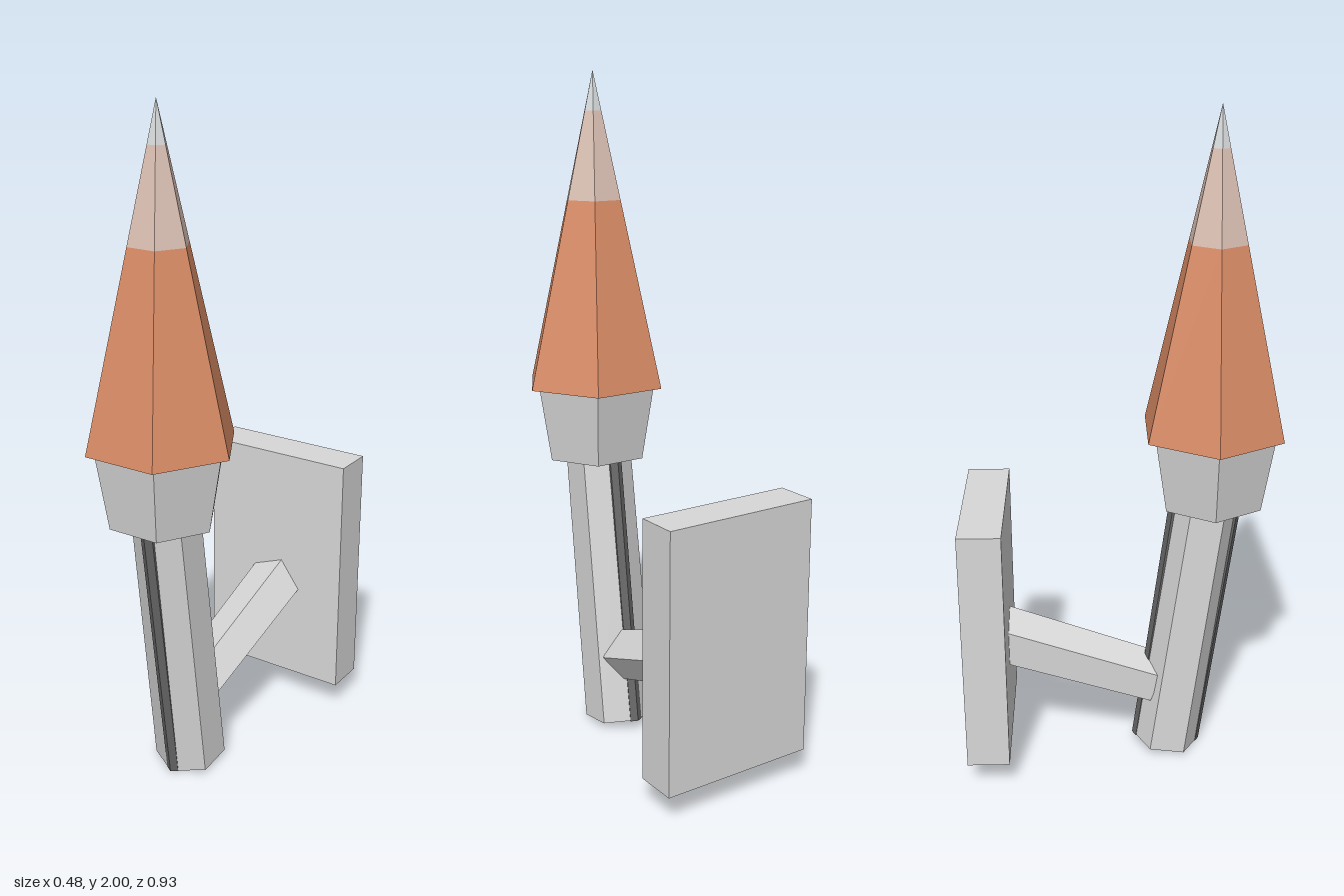
import * as THREE from 'three';

const paint = (name, color) => {
  const m = new THREE.MeshStandardMaterial({ color, flatShading: true, side: THREE.DoubleSide });
  m.name = name;
  return m;
};

export function createModel() {
  const group = new THREE.Group();
  group.name = 'wallTorch';

  const metal = paint('lightMetal', 0xd8d8d8);
  const dark = paint('darkMetal', 0x666666);
  const orange = paint('flameOrange', 0xd98c66);
  const peach = paint('flamePeach', 0xdabfb2);
  const white = paint('flameTip', 0xd6d9da);

  const add = (name, geometry, material, y, z, tilt = 0, parent = group) => {
    const mesh = new THREE.Mesh(geometry, material);
    mesh.name = name;
    mesh.position.set(0, y, z);
    mesh.rotation.x = tilt;
    parent.add(mesh);
    return mesh;
  };

  // Six-sided open ring between two heights, corners on the x axis
  const headZ = 0.27;
  const hexRing = (name, material, y0, y1, r0, r1) =>
    add(name, new THREE.CylinderGeometry(r1, r0, y1 - y0, 6, 1, true, Math.PI / 6),
      material, (y0 + y1) / 2, headZ);

  // Cup and the three colour bands of the flame
  hexRing('cup', metal, 0.85, 1.075, 0.159, 0.197);
  const flameRadius = y => 0.223 * (2 - y) / (2 - 1.075);
  [['flameBase', orange, 1.075, 1.63], ['flameMiddle', peach, 1.63, 1.885], ['flameTip', white, 1.885, 2]]
    .forEach(([name, mat, y0, y1]) => hexRing(name, mat, y0, y1, flameRadius(y0), flameRadius(y1)));

  // Leaning handle, built upward from the centre of its foot
  const handle = new THREE.Group();
  handle.name = 'handle';
  handle.position.set(0, 0.018, 0.145);
  handle.rotation.x = 0.131;
  group.add(handle);
  const length = 0.87;
  add('handleShaft', new THREE.CylinderGeometry(0.099, 0.106, length, 6), metal, length / 2, 0, 0, handle);

  // Dark strip running along the front and back ridges and across the foot
  const strip = new THREE.Shape([
    [0, 0.107], [-0.02, 0.0955], [-0.02, -0.0955], [0, -0.107], [0.02, -0.0955], [0.02, 0.0955],
  ].map(([x, y]) => new THREE.Vector2(x, y)));
  add('handleStrip', new THREE.ExtrudeGeometry(strip, { depth: length, bevelEnabled: false }),
    dark, -0.002, 0, -Math.PI / 2, handle);

  // Five-sided arm from the handle up to the wall plate
  const from = new THREE.Vector3(0, 0.235, 0.11);
  const to = new THREE.Vector3(0, 0.4, -0.37);
  const span = to.clone().sub(from);
  const mid = from.clone().add(to).multiplyScalar(0.5);
  add('arm', new THREE.CylinderGeometry(0.091, 0.081, span.length(), 5, 1, false, THREE.MathUtils.degToRad(16)),
    metal, mid.y, mid.z, Math.atan2(span.z, span.y));

  // Wall plate, open underneath
  const plate = new THREE.BoxGeometry(0.48, 0.765, 0.127);
  const index = Array.from(plate.index.array);
  index.splice(18, 6);
  plate.setIndex(index);
  plate.clearGroups();
  add('wallPlate', plate, metal, 0.4675, -0.403);

  return group;
}
